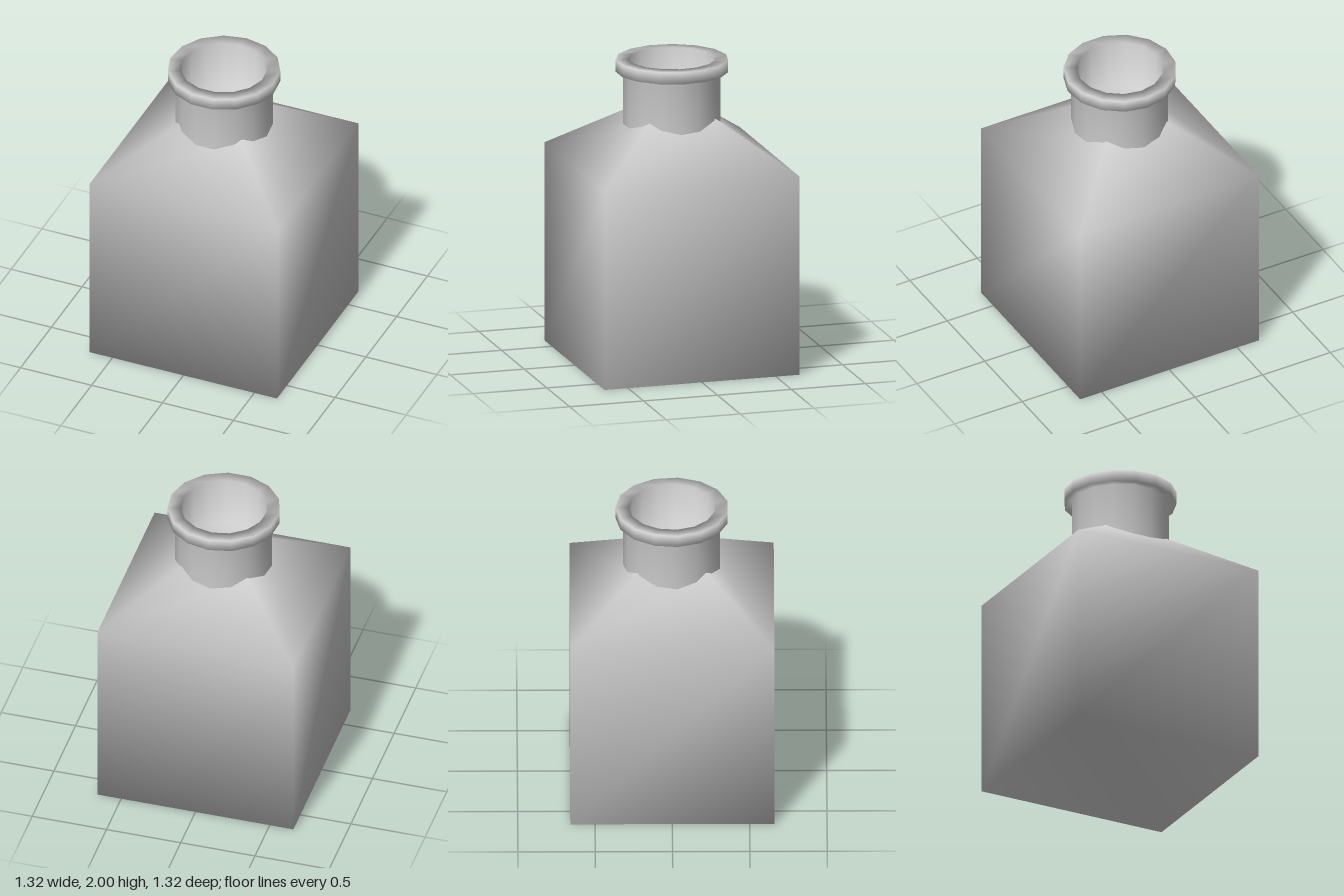
import * as THREE from 'three';

// Square rings [y, half width] joined into one smooth-shaded shell with a closed base
function squareLoft(rings) {
  const pos = [], idx = [];
  for (const [y, h] of rings) pos.push(-h, y, h, h, y, h, h, y, -h, -h, y, -h);
  for (let r = 0; r < rings.length - 1; r++) {
    for (let i = 0; i < 4; i++) {
      const a = r * 4 + i, b = r * 4 + (i + 1) % 4;
      idx.push(a, b, b + 4, a, b + 4, a + 4);
    }
  }
  idx.push(0, 3, 2, 0, 2, 1);
  const g = new THREE.BufferGeometry();
  g.setAttribute('position', new THREE.Float32BufferAttribute(pos, 3));
  g.setIndex(idx);
  g.computeVertexNormals();
  return g;
}

export function createModel() {
  const group = new THREE.Group();
  group.name = 'bottle';
  const grey = new THREE.MeshStandardMaterial({ color: 0xcccccc, side: THREE.DoubleSide });
  grey.name = 'grey';

  // Square body with sloping shoulders
  const body = new THREE.Mesh(squareLoft([[0, 0.66], [1.325, 0.66], [1.635, 0.222]]), grey);
  body.name = 'body';
  group.add(body);

  // Neck wall, overhanging lip and hollow bore in one 15-sided turned profile
  const profile = [
    [0.317, 1.55], [0.317, 1.92], [0.366, 1.92], [0.366, 2],
    [0.281, 2], [0.281, 1.66], [0, 1.66],
  ].map(([r, y]) => new THREE.Vector2(r, y));
  const neck = new THREE.Mesh(new THREE.LatheGeometry(profile, 15, Math.PI), grey);
  neck.name = 'neckAndLip';
  group.add(neck);

  return group;
}
